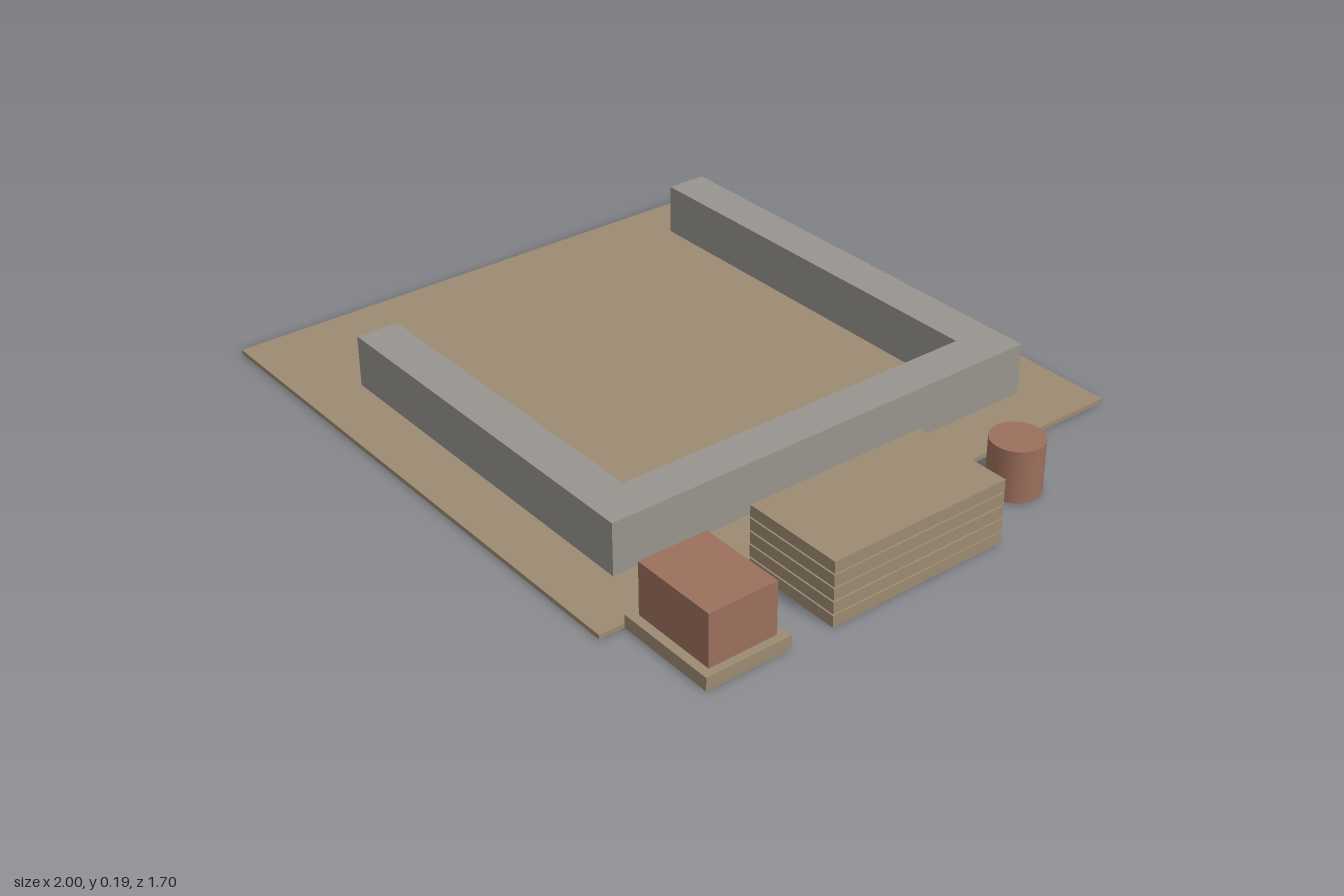
import * as THREE from 'three';

export function createModel() {
  const group = new THREE.Group();
  const material = (name, color) => {
    const m = new THREE.MeshStandardMaterial({ color });
    m.name = name;
    return m;
  };
  const tan = material('tan', 0x9c8a72);
  const grey = material('concrete grey', 0x98948e);
  const rust = material('rust', 0x9c6f5c);

  const add = (name, geometry, mat) => {
    const mesh = new THREE.Mesh(geometry, mat);
    mesh.name = name;
    group.add(mesh);
    return mesh;
  };
  // Box given by its limits on each axis
  const box = (name, mat, [x0, x1], [y0, y1], [z0, z1]) =>
    add(name, new THREE.BoxGeometry(x1 - x0, y1 - y0, z1 - z0), mat)
      .position.set((x0 + x1) / 2, (y0 + y1) / 2, (z0 + z1) / 2);

  // Ground slab
  box('groundSlab', tan, [-1, 0.7], [0, 0.013], [-0.848, 0.848]);

  // Three-sided wall as one extruded plan, open towards -x
  const plan = [
    [-0.84, -0.69], [0.535, -0.69], [0.535, 0.685], [-0.62, 0.685],
    [-0.62, 0.56], [0.412, 0.56], [0.412, -0.565], [-0.84, -0.565],
  ].map(([x, z]) => new THREE.Vector2(x, -z));
  const wall = new THREE.ExtrudeGeometry(new THREE.Shape(plan), { depth: 0.163, bevelEnabled: false });
  wall.rotateX(-Math.PI / 2);
  wall.translate(0, 0.002, 0);
  add('perimeterWall', wall, grey);

  // Stack of boards with narrow gaps
  for (let i = 0; i < 5; i++) {
    const y = i * 0.038;
    box('stackedBoard', tan, [0.7, 1], [y, y + 0.033], [-0.15, 0.4]);
  }

  // Crate on its pallet
  box('pallet', tan, [0.7, 1], [0, 0.038], [0.525, 0.775]);
  box('crate', rust, [0.722, 0.977], [0.038, 0.188], [0.55, 0.75]);

  // Barrel
  add('barrel', new THREE.CylinderGeometry(0.074, 0.074, 0.152, 24), rust).position.set(0.848, 0.078, -0.352);

  return group;
}
